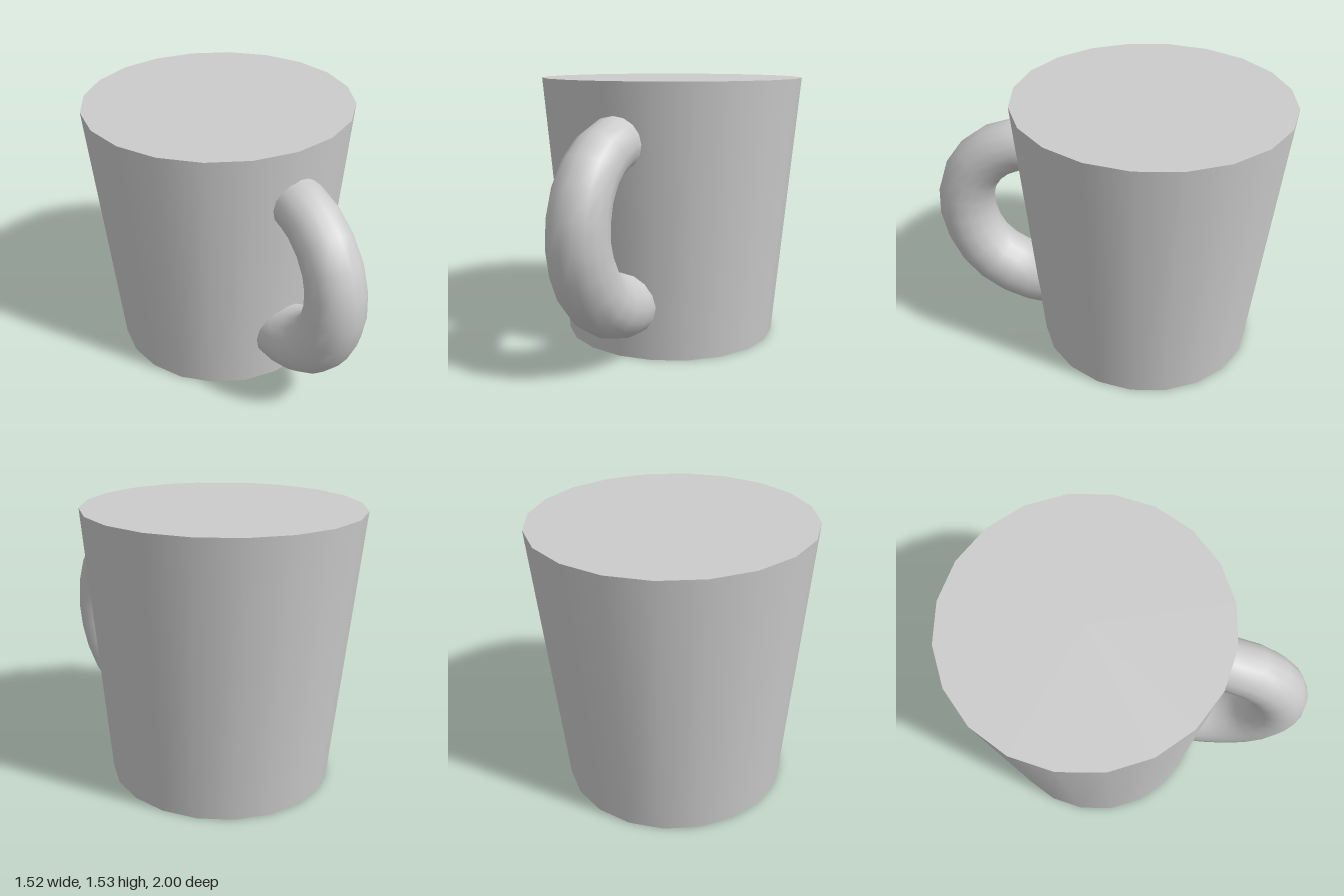
import * as THREE from 'three';

const HEIGHT = 1.53;
const CUP_Z = -0.24;

// Tube along a curve whose radius changes evenly from start to end
function taperedTube(curve, segments, sides, rStart, rEnd) {
  const geometry = new THREE.TubeGeometry(curve, segments, 1, sides, false);
  const pos = geometry.attributes.position;
  const offset = new THREE.Vector3();
  for (let ring = 0; ring <= segments; ring++) {
    const t = ring / segments;
    const centre = curve.getPointAt(t);
    const radius = THREE.MathUtils.lerp(rStart, rEnd, t);
    for (let j = 0; j <= sides; j++) {
      const i = ring * (sides + 1) + j;
      offset.fromBufferAttribute(pos, i).sub(centre).multiplyScalar(radius).add(centre);
      pos.setXYZ(i, offset.x, offset.y, offset.z);
    }
  }
  return geometry;
}

export function createModel() {
  const group = new THREE.Group();
  group.name = 'mug';
  const material = new THREE.MeshStandardMaterial({ color: 0xcccccc });

  // Closed, tapered cup body
  const body = new THREE.Mesh(new THREE.CylinderGeometry(0.76, 0.627, HEIGHT, 20), material);
  body.name = 'cupBody';
  body.position.set(0, HEIGHT / 2, CUP_Z);
  group.add(body);

  // C-shaped handle, thicker at its lower end; both ends sink into the body
  const path = [
    [1.215, 0.39], [1.21, 0.47], [1.19, 0.568], [1.118, 0.69], [1.02, 0.777], [0.888, 0.83],
    [0.739, 0.839], [0.595, 0.80], [0.47, 0.724], [0.378, 0.61], [0.324, 0.47], [0.312, 0.33],
  ].map(([y, z]) => new THREE.Vector3(0.04, y, z));
  const handleMaterial = material.clone();
  handleMaterial.side = THREE.DoubleSide;
  const handle = new THREE.Mesh(
    taperedTube(new THREE.CatmullRomCurve3(path), 12, 16, 0.145, 0.184), handleMaterial);
  handle.name = 'handle';
  group.add(handle);

  return group;
}
